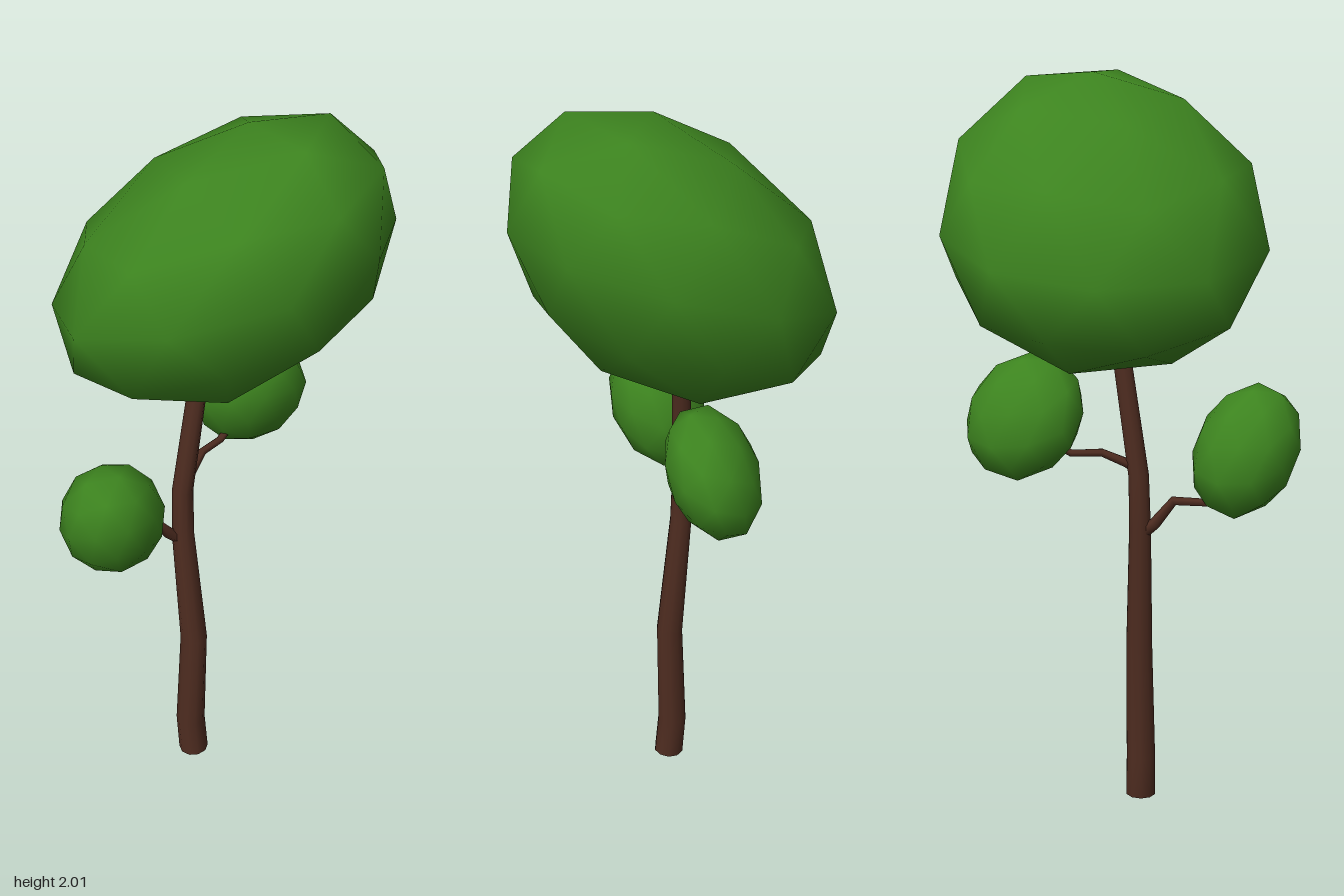
import * as THREE from 'three';
import { mergeVertices } from 'three/addons/utils/BufferGeometryUtils.js';

const leafMaterial = new THREE.MeshStandardMaterial({ color: 0x3d841f });
const barkMaterial = new THREE.MeshStandardMaterial({ color: 0x4e2c20 });

// Low-poly egg with smooth normals, given by its centre and three half-axes;
// bend pushes both poles to +x, swell moves the girth towards -z
function foliage(name, centre, xAxis, yAxis, zAxis, bend = 0, swell = 0) {
  const geometry = new THREE.IcosahedronGeometry(1, 1);
  geometry.deleteAttribute('uv');
  geometry.deleteAttribute('normal');
  const smooth = mergeVertices(geometry, 1e-4);
  smooth.rotateZ(-Math.atan(2 / (1 + Math.sqrt(5)))); // one corner points up
  const p = smooth.attributes.position;
  for (let i = 0; i < p.count; i++) {
    p.setX(i, p.getX(i) + bend * p.getY(i) ** 2);
    p.setZ(i, p.getZ(i) - swell * (1 - p.getZ(i) ** 2));
  }
  const axes = [xAxis, yAxis, zAxis].map((a) => new THREE.Vector3(...a));
  smooth.applyMatrix4(new THREE.Matrix4().makeBasis(...axes));
  smooth.computeVertexNormals();
  const mesh = new THREE.Mesh(smooth, leafMaterial);
  mesh.name = name;
  mesh.position.set(...centre);
  return mesh;
}

// Tapered limb along a bent line; each stop is [x, y, z, radius]
function limb(name, stops, sides) {
  const points = stops.map((s) => new THREE.Vector3(s[0], s[1], s[2]));
  const last = points.length - 1;
  const positions = [];
  const indices = [];
  const up = new THREE.Vector3(0, 1, 0);
  points.forEach((p, i) => {
    const tangent = points[Math.min(i + 1, last)].clone().sub(points[Math.max(i - 1, 0)]).normalize();
    const turn = new THREE.Quaternion().setFromUnitVectors(up, tangent);
    for (let j = 0; j < sides; j++) {
      const a = (j / sides) * Math.PI * 2;
      const v = new THREE.Vector3(Math.sin(a), 0, Math.cos(a));
      v.multiplyScalar(stops[i][3]).applyQuaternion(turn).add(p);
      positions.push(v.x, Math.max(0, v.y), v.z);
      if (i < last) {
        const b = i * sides + j;
        const c = i * sides + ((j + 1) % sides);
        indices.push(b, c, c + sides, b, c + sides, b + sides);
      }
    }
  });
  // End caps with their own corners, so the rims stay sharp
  for (const end of [0, last]) {
    const start = positions.length / 3;
    positions.push(...positions.slice(end * sides * 3, (end + 1) * sides * 3));
    for (let j = 1; j < sides - 1; j++) {
      if (end === 0) indices.push(start, start + j + 1, start + j);
      else indices.push(start, start + j, start + j + 1);
    }
  }
  const geometry = new THREE.BufferGeometry();
  geometry.setAttribute('position', new THREE.Float32BufferAttribute(positions, 3));
  geometry.setIndex(indices);
  geometry.computeVertexNormals();
  const mesh = new THREE.Mesh(geometry, barkMaterial);
  mesh.name = name;
  return mesh;
}

export function createModel() {
  const tree = new THREE.Group();
  tree.name = 'tree';

  // Trunk, rising into the crown
  tree.add(limb('trunk', [
    [0.014, 0, 0.05, 0.043],
    [0.004, 0.12, 0.053, 0.042],
    [0.011, 0.44, 0.045, 0.038],
    [-0.021, 0.8, 0.056, 0.031],
    [-0.025, 0.95, 0.053, 0.029],
    [-0.02, 1.25, 0.007, 0.026],
    [-0.018, 1.31, -0.003, 0.025],
  ], 10));

  // Side branches
  tree.add(limb('frontBranch', [
    [-0.024, 0.785, 0.06, 0.018],
    [-0.028, 0.82, 0.1, 0.016],
    [-0.018, 0.885, 0.15, 0.013],
    [-0.025, 0.89, 0.24, 0.011],
    [0.01, 0.94, 0.31, 0.009],
  ], 6));
  tree.add(limb('backBranch', [
    [-0.022, 0.965, 0.05, 0.016],
    [-0.033, 0.985, 0.02, 0.014],
    [-0.06, 1.015, -0.04, 0.012],
    [-0.08, 1.012, -0.12, 0.011],
    [-0.1, 1.06, -0.21, 0.009],
  ], 6));

  // Foliage: the leaning crown and a clump at the end of each branch
  tree.add(foliage('crown', [0, 1.624, -0.045], [0.42, 0.11, 0], [0.02, 0.373, -0.012], [0, -0.055, 0.44], 0.07, 0.092));
  tree.add(foliage('frontClump', [0.043, 1.024, 0.333], [0.143, 0.06, 0], [-0.015, 0.168, 0.018], [0.015, 0.01, 0.145]));
  tree.add(foliage('backClump', [-0.1, 1.11, -0.245], [0.13, 0.06, 0], [-0.01, 0.156, 0], [0, 0.02, 0.167]));

  return tree;
}
